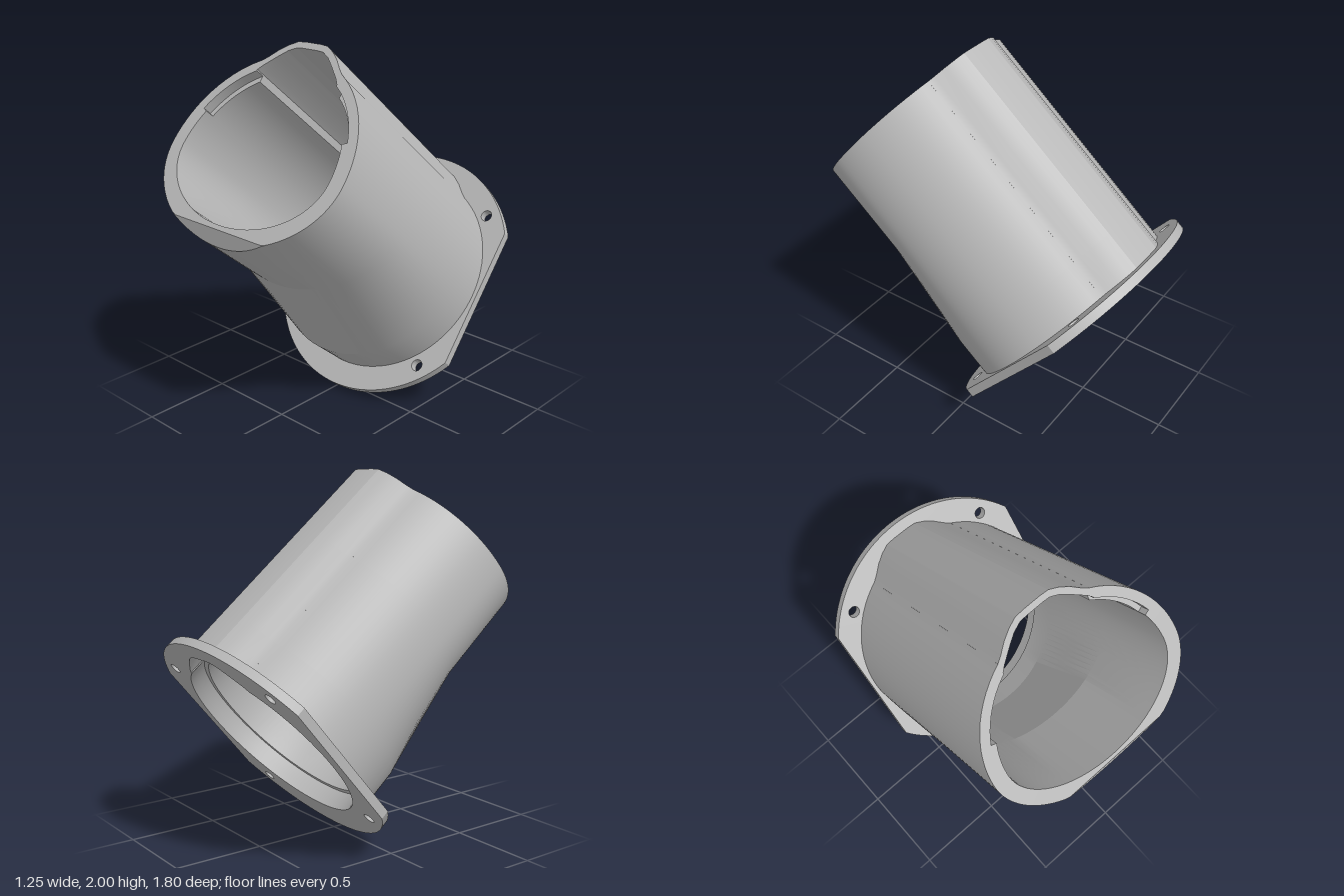
import * as THREE from 'three';
import { toCreasedNormals } from 'three/addons/utils/BufferGeometryUtils.js';

// Local frame: z runs along the tube axis, y across it; the whole is tilted at the end.
const TILT = THREE.MathUtils.degToRad(40);
const CENTRE = 0.71;                  // height of the tube axis in the local frame
const BACK = 0.04, SEAT = 0.09;       // flange faces
const RIM = 1.455;                    // mouth plane
const R_OUT = 0.605, R_BORE = 0.52, R_STEP = 0.55;
const BEVEL_Z = 0.9;                  // upright plane that trims the lower lip

const polar = (r, deg) => {
  const t = THREE.MathUtils.degToRad(deg);
  return [r * Math.cos(t), r * Math.sin(t)];
};

// Stations round one half of the wall: o outer, i bore, s mouth slot, c base recess
function halfStations() {
  const list = [];
  // raised channel along the top
  const outer = [[0, 0.677], [0.05, 0.677], [0.1, 0.673], [0.15, 0.648], [0.2, 0.611], [0.25, 0.561], [0.28, 0.536]];
  const inner = [[0, 0.64], [0.05, 0.64], [0.09, 0.637], [0.14, 0.612], [0.185, 0.574], [0.255, 0.51], [0.28, 0.48]];
  outer.forEach((o, n) => list.push({ o, i: inner[n], s: inner[n], c: inner[n] }));
  // slotted arc beside the channel
  const start = 57.4, end = 22;
  for (let n = 0; n <= 9; n++) {
    const t = start + (end - start) * n / 9;
    const tOut = 62.4 + (end - 62.4) * n / 9;
    const step = n === 0 ? [0.28, 0.473] : polar(R_STEP, t);
    list.push({ o: polar(R_OUT, tOut), i: polar(R_BORE, t), s: step, c: step });
  }
  // plain arc down to the bottom
  for (let n = 0; n <= 32; n++) {
    const t = end + (-90 - end) * n / 32;
    const i = polar(R_BORE, t);
    list.push({ o: polar(R_OUT, t), i, s: i, c: polar(R_STEP, t) });
  }
  return list;
}

function fullStations() {
  const right = halfStations();
  const flip = ([x, y]) => [-x, y];
  const left = right.slice(1, -1).reverse().map(p => ({ o: flip(p.o), i: flip(p.i), s: flip(p.s), c: flip(p.c) }));
  return [...right, ...left];
}

// The underside flattens between the base and the mouth
function place([x, y], z, flat) {
  const f = THREE.MathUtils.clamp((z - 0.31) / 0.61, 0, 1);
  return new THREE.Vector3(x, CENTRE + (y < 0 ? y * (1 + (flat - 1) * f) : y), z);
}

function tubeGeometry(stations) {
  const FLAT_OUT = 0.737, FLAT_IN = 0.677;
  const cos = Math.cos(TILT), sin = Math.sin(TILT);
  const lipY = (RIM * cos - BEVEL_Z) / sin;
  const outer = z => stations.map(p => place(p.o, z, FLAT_OUT));
  const inner = (key, z) => stations.map(p => place(p[key], z, FLAT_IN));
  // lower lip: outer wall stops short, then slopes up to the mouth plane
  const lip = outer(RIM).map(v => v.setZ(Math.min(RIM, (BEVEL_Z + sin * v.y) / cos)));
  const rim = outer(RIM).map(v => v.setY(Math.max(v.y, lipY)));
  const rings = [
    outer(SEAT - 0.01), outer(0.31), outer(0.92), lip, rim,
    inner('s', RIM), inner('s', RIM - 0.055), inner('i', RIM - 0.055),
    inner('i', 0.92), inner('i', 0.31), inner('i', 0.15),
    inner('c', 0.15), inner('c', SEAT),
  ];
  const pos = [];
  const e1 = new THREE.Vector3(), e2 = new THREE.Vector3();
  const tri = (a, b, c) => {
    e1.subVectors(b, a);
    e2.subVectors(c, a);
    if (e1.cross(e2).length() < 1e-8) return;
    for (const v of [a, b, c]) pos.push(v.x, v.y, v.z);
  };
  const n = stations.length;
  for (let j = 0; j < rings.length - 1; j++) {
    for (let k = 0; k < n; k++) {
      const m = (k + 1) % n;
      tri(rings[j][k], rings[j + 1][k], rings[j][m]);
      tri(rings[j][m], rings[j + 1][k], rings[j + 1][m]);
    }
  }
  const g = new THREE.BufferGeometry();
  g.setAttribute('position', new THREE.Float32BufferAttribute(pos, 3));
  return toCreasedNormals(g, 0.22);
}

// Round plate with two straight sides, four bolt holes and the tube opening
function flangeGeometry(stations) {
  const R = 0.742, side = 0.627;
  const a = Math.acos(side / R);
  const shape = new THREE.Shape();
  shape.absarc(0, CENTRE, R, a, Math.PI - a, false);
  shape.absarc(0, CENTRE, R, Math.PI + a, Math.PI * 2 - a, false);
  shape.closePath();
  const opening = [];
  for (const { c } of stations) {
    const p = new THREE.Vector2(c[0], c[1] + CENTRE);
    if (!opening.length || p.distanceTo(opening[opening.length - 1]) > 1e-4) opening.push(p);
  }
  shape.holes.push(new THREE.Path(opening));
  for (const sx of [-1, 1]) for (const sy of [-1, 1]) {
    const hole = new THREE.Path();
    hole.absarc(sx * 0.468, CENTRE + sy * 0.468, 0.032, 0, Math.PI * 2, true);
    shape.holes.push(hole);
  }
  const g = new THREE.ExtrudeGeometry(shape, { depth: SEAT - BACK, bevelEnabled: false, curveSegments: 32 });
  g.translate(0, 0, BACK);
  return toCreasedNormals(g, 0.4);
}

export function createModel() {
  const grey = new THREE.MeshStandardMaterial({ color: 0xb8b8b8 });
  grey.name = 'light grey';
  const stations = fullStations();

  const body = new THREE.Group();
  body.name = 'tiltedDuct';
  const add = (name, geometry) => {
    const mesh = new THREE.Mesh(geometry, grey);
    mesh.name = name;
    body.add(mesh);
  };
  add('ductTube', tubeGeometry(stations));
  add('mountingFlange', flangeGeometry(stations));
  body.rotation.x = -TILT;

  const model = new THREE.Group();
  model.name = 'flangedDuct';
  model.add(body);
  return model;
}
